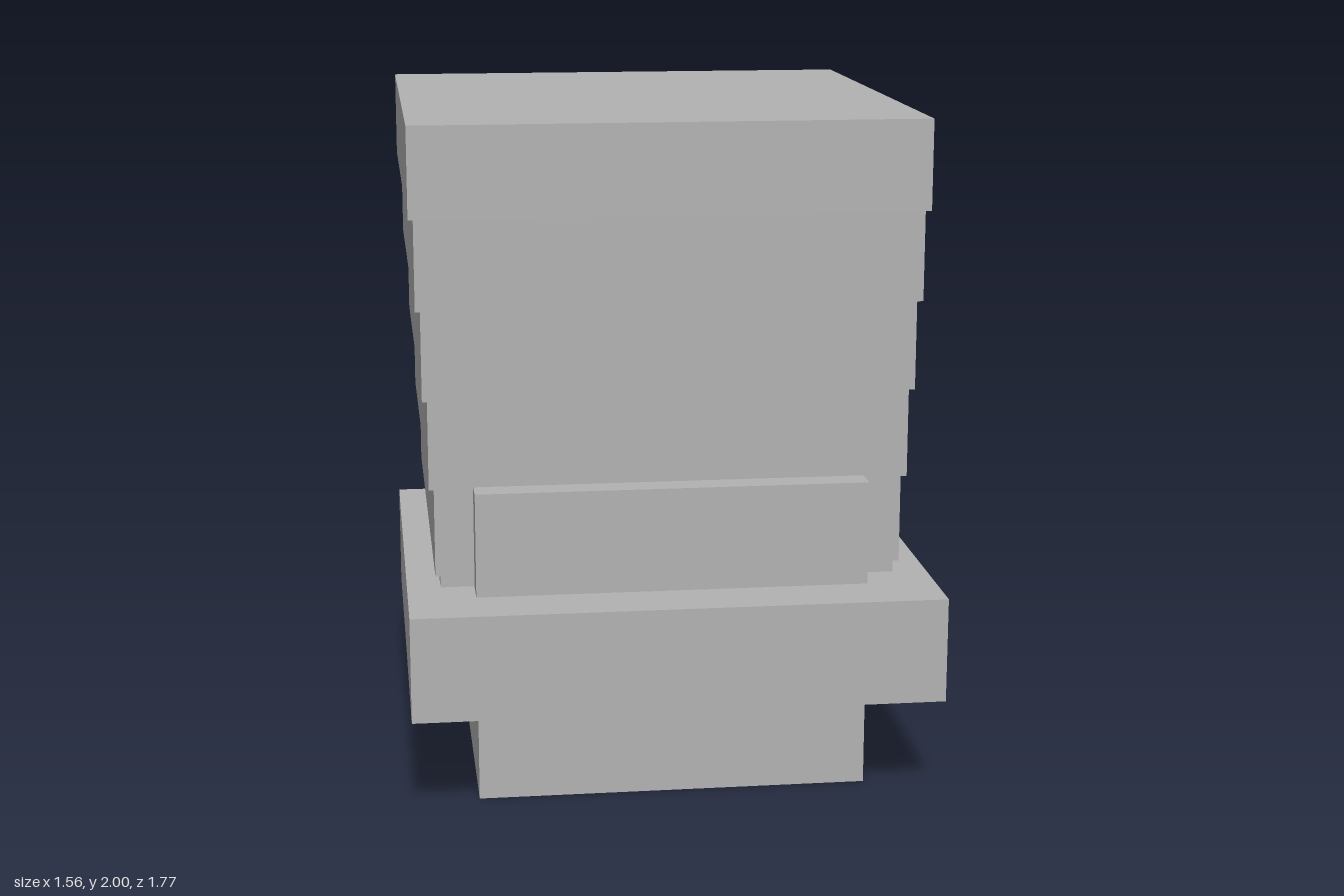
import * as THREE from 'three';

export function createModel() {
  const model = new THREE.Group();
  model.name = 'steppedTower';
  const grey = new THREE.MeshStandardMaterial({ color: 0xb2b2b2 });
  grey.name = 'light grey';

  // Box given by its extents along each axis
  const block = (name, [x0, x1], [y0, y1], [z0, z1]) => {
    const mesh = new THREE.Mesh(new THREE.BoxGeometry(x1 - x0, y1 - y0, z1 - z0), grey);
    mesh.position.set((x0 + x1) / 2, (y0 + y1) / 2, (z0 + z1) / 2);
    mesh.name = name;
    model.add(mesh);
  };

  // Central core, standing on the ground and showing again above the ledge
  block('core', [-0.583, 0.578], [0, 0.937], [-0.352, 0.704]);

  // Wide projecting ledge
  block('ledge', [-0.782, 0.782], [0.312, 0.626], [-0.536, 0.884]);

  // Six storeys, each slightly larger than the one below
  const count = 6, base = 0.397, height = (2 - base) / count;
  for (let i = 0; i < count; i++) {
    const grow = 0.0148 * i, y = base + height * i;
    block(`storey${i + 1}`,
      [-0.683 - grow, 0.679 + grow],
      [y, y + height],
      [-0.808 - grow, 0.592 + grow]);
  }
  return model;
}
